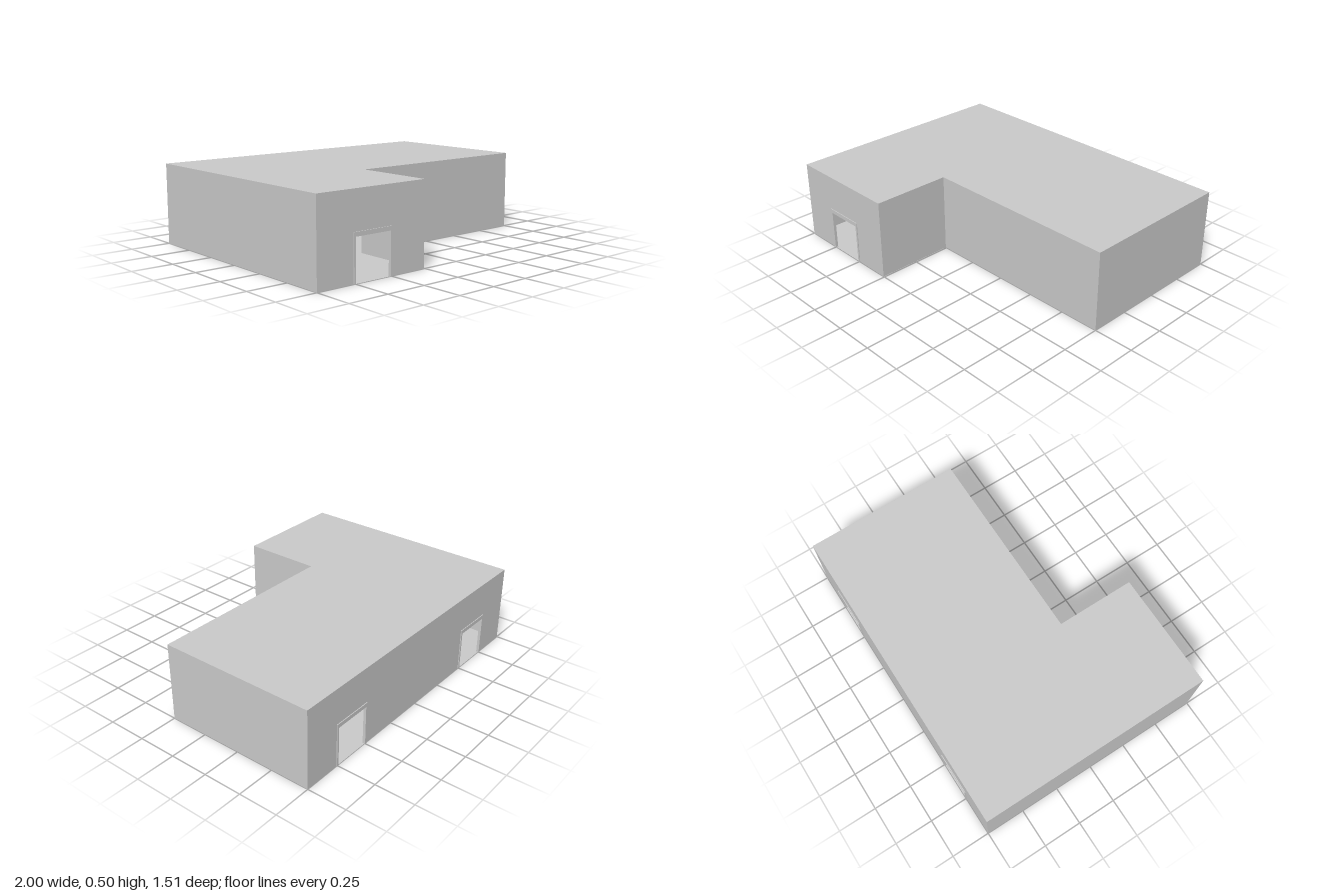
import * as THREE from 'three';

const H = 0.5, T = 0.0125;                    // building height, wall thickness
const DOOR_W = 0.242, DOOR_H = 0.25;          // door opening
const FRAME_W = 0.267, FRAME_H = 0.275, FRAME_D = 0.005;
const WING = -0.257, STEP = 0.25, D = 0.75;   // wing side, recessed front, half depth

export function createModel() {
  const group = new THREE.Group();
  const material = new THREE.MeshStandardMaterial({ color: 0xcccccc, flatShading: true });
  const thin = new THREE.MeshStandardMaterial({ color: 0xcccccc, flatShading: true, side: THREE.DoubleSide });

  const add = (name, geometry, mat = material) => {
    const mesh = new THREE.Mesh(geometry, mat);
    mesh.name = name;
    group.add(mesh);
  };
  const extrude = (shape, depth) => new THREE.ExtrudeGeometry(shape, { depth, bevelEnabled: false });
  const polygon = (points) => new THREE.Shape(points.map(([x, y]) => new THREE.Vector2(x, y)));

  // Wall facing front or back, from x0 to x1, notched at each door centre (ascending)
  function crossWall(name, x0, x1, z, doors = []) {
    const h = H - T, points = [[x0, 0]];
    for (const c of doors) {
      const a = c - DOOR_W / 2, b = c + DOOR_W / 2;
      points.push([a, 0], [a, DOOR_H], [b, DOOR_H], [b, 0]);
    }
    points.push([x1, 0], [x1, h], [x0, h]);
    add(name, extrude(polygon(points), T).translate(0, 0, z));
  }

  // Wall facing sideways, from z0 to z1
  function sideWall(name, x, z0, z1) {
    const h = H - T;
    add(name, new THREE.BoxGeometry(T, h, z1 - z0).translate(x + T / 2, h / 2, (z0 + z1) / 2));
  }

  // Thin surround projecting from the wall around a door opening
  function doorFrame(name, c, z) {
    const o = FRAME_W / 2, i = DOOR_W / 2;
    const shape = polygon([[-o, 0], [-i, 0], [-i, DOOR_H], [i, DOOR_H], [i, 0], [o, 0], [o, FRAME_H], [-o, FRAME_H]]);
    add(name, extrude(shape, FRAME_D).translate(c, 0, z));
  }

  // L-shaped plan, with shape y = -z
  const plan = polygon([[-1, -D], [WING, -D], [WING, -STEP], [1, -STEP], [1, D], [-1, D]]);
  add('floor', new THREE.ShapeGeometry(plan).rotateX(-Math.PI / 2), thin);
  add('roof', extrude(plan, T).rotateX(-Math.PI / 2).translate(0, H - T, 0));

  // Hollow shell of outer walls
  const leftDoor = 0.623, rightDoor = -0.628;
  crossWall('wingFrontWall', -1, WING, D - T, [rightDoor]);
  crossWall('recessedFrontWall', WING - T, 1, STEP - T);
  crossWall('backWall', -1, 1, -D, [rightDoor, leftDoor]);
  sideWall('rightWall', -1, -D + T, D - T);
  sideWall('leftWall', 1 - T, -D + T, STEP - T);
  sideWall('wingSideWall', WING - T, STEP, D - T);

  // Door surrounds
  doorFrame('frontDoorFrame', rightDoor, D);
  doorFrame('backRightDoorFrame', rightDoor, -D - FRAME_D);
  doorFrame('backLeftDoorFrame', leftDoor, -D - FRAME_D);

  return group;
}
